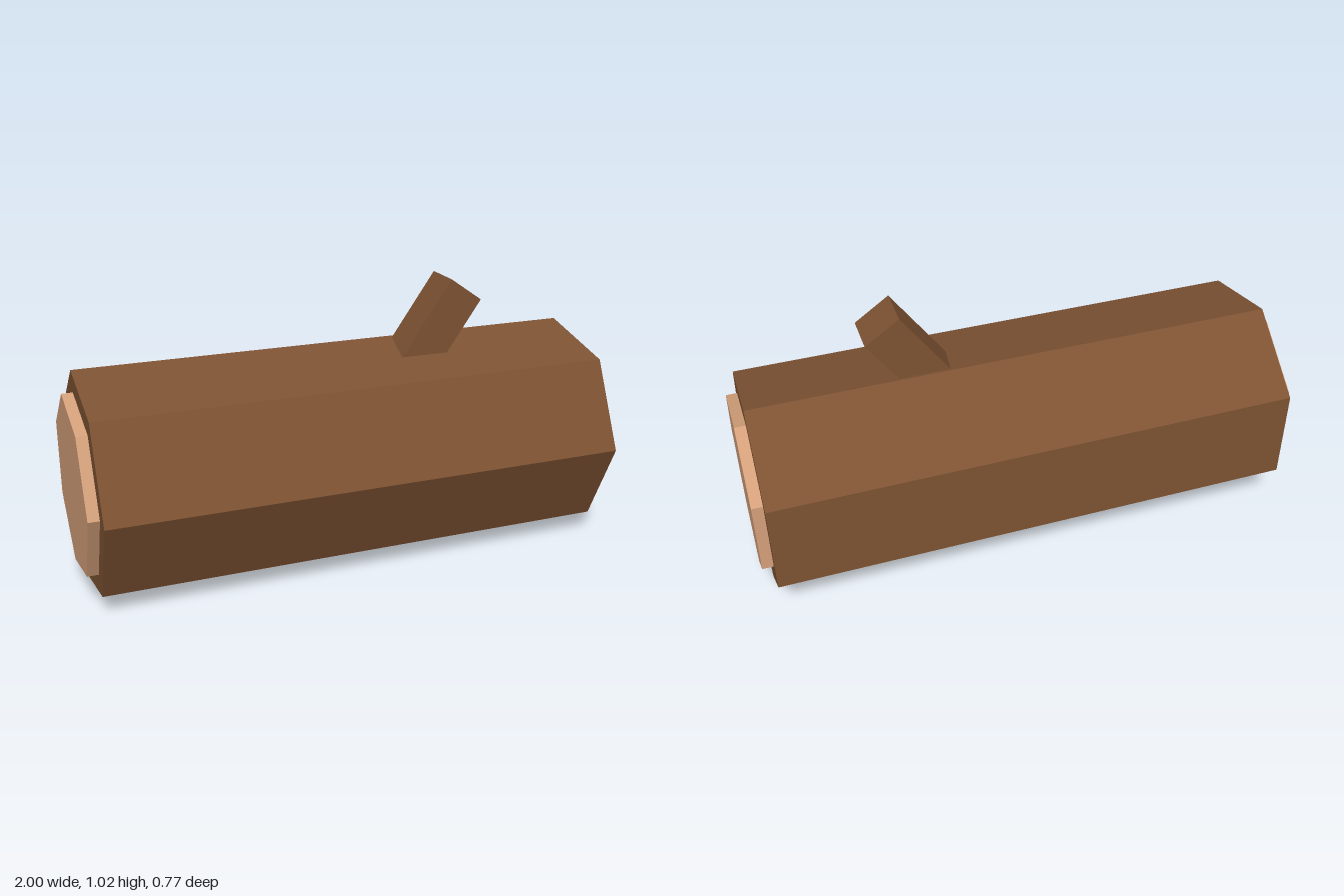
import * as THREE from 'three';

export function createModel() {
  const group = new THREE.Group();
  group.name = 'log';

  const bark = new THREE.MeshStandardMaterial({ color: 0x7d5232 });
  bark.name = 'bark brown';
  const wood = new THREE.MeshStandardMaterial({ color: 0xd4a07a });
  wood.name = 'cut wood tan';

  const SIDES = 7, CY = 0.394, CZ = -0.02;

  function add(name, geometry, material, x, y, z, tilt) {
    const mesh = new THREE.Mesh(geometry.toNonIndexed(), material);
    mesh.geometry.computeVertexNormals(); // flat facets
    mesh.name = name;
    mesh.position.set(x, y, z);
    mesh.rotation.z = tilt;
    group.add(mesh);
  }

  // Seven-sided trunk lying along x, one edge pointing forward
  add('trunk', new THREE.CylinderGeometry(0.403, 0.403, 1.92, SIDES), bark, 0, CY, CZ, Math.PI / 2);

  // Cut wood discs standing proud of both ends
  for (const side of [-1, 1]) {
    add(side > 0 ? 'leftCutEnd' : 'rightCutEnd',
      new THREE.CylinderGeometry(0.325, 0.325, 0.06, SIDES), wood, side * 0.97, CY, CZ, Math.PI / 2);
  }

  // Branch stub leaning toward +x, its foot sunk in the trunk
  add('branchStub', new THREE.BoxGeometry(0.15, 0.4, 0.152), bark, 0.36, 0.819, CZ, -0.61);

  return group;
}
